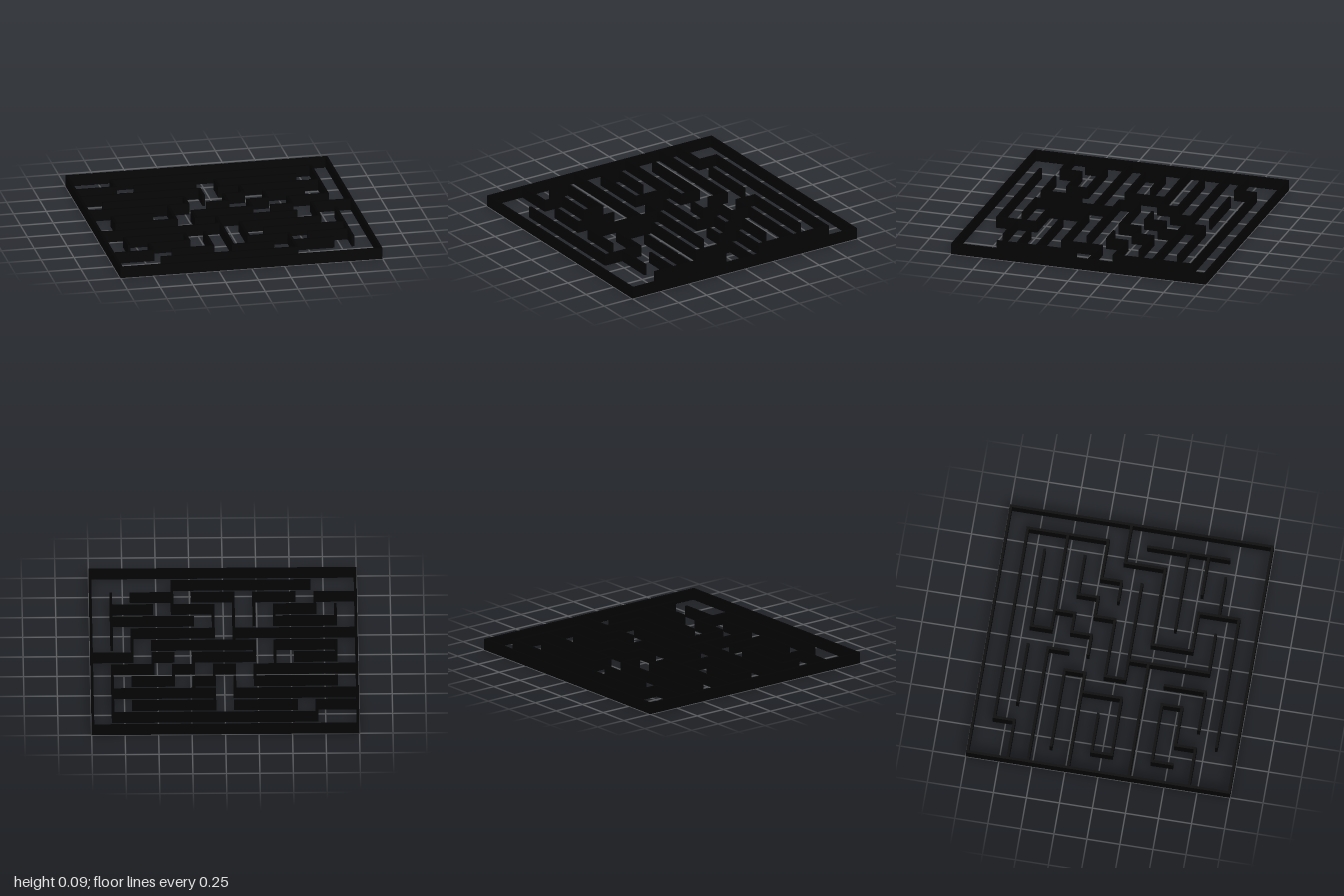
import * as THREE from 'three';

const CELLS = 13, THICK = 0.02, HEIGHT = 0.085;
const STEP = (2 - THICK) / CELLS;
const at = (i) => -1 + THICK / 2 + i * STEP;

// Walls along x: for each grid line from back to front, [start, end] columns
const ROWS = [
  [],
  [[2, 12]],
  [[0, 2], [3, 6], [7, 11]],
  [[0, 6], [7, 12]],
  [[1, 5], [7, 8], [9, 11]],
  [[0, 5], [6, 7], [8, 9], [10, 12]],
  [[1, 3], [5, 8], [9, 10], [11, 13]],
  [[1, 4], [5, 10]],
  [[0, 6], [7, 11]],
  [[1, 4], [8, 12]],
  [[2, 4], [7, 9], [10, 12]],
  [[0, 2], [3, 5], [6, 8], [9, 11]],
  [[2.25, 9]],
];

// Walls along z: for each grid line from -x to +x, [start, end] rows
const COLUMNS = [
  [],
  [[6, 7], [9, 10]],
  [[1, 2], [10, 11]],
  [],
  [[5, 7], [9, 10]],
  [[4, 5], [6, 7], [9, 11]],
  [[3, 4], [7, 11]],
  [[2, 3], [4, 5], [8, 10]],
  [[3, 4], [5, 6]],
  [[4, 5], [10, 12]],
  [[5, 6]],
  [[6, 8]],
  [[1, 5], [7, 11]],
];

export function createModel() {
  const maze = new THREE.Group();
  maze.name = 'maze';
  const material = new THREE.MeshStandardMaterial({ color: 0x030303 });

  const addWall = (parent, name, alongX, line, start, end) => {
    const length = (end - start) * STEP + THICK;
    const geometry = new THREE.BoxGeometry(alongX ? length : THICK, HEIGHT, alongX ? THICK : length);
    const wall = new THREE.Mesh(geometry, material);
    const middle = at((start + end) / 2);
    wall.position.set(alongX ? middle : at(line), HEIGHT / 2, alongX ? at(line) : middle);
    wall.name = name;
    parent.add(wall);
  };

  // Outer frame
  const frame = new THREE.Group();
  frame.name = 'outerFrame';
  addWall(frame, 'backWall', true, 0, 0, CELLS);
  addWall(frame, 'frontWall', true, CELLS, 0, CELLS);
  addWall(frame, 'rightWall', false, 0, 0, CELLS);
  addWall(frame, 'leftWall', false, CELLS, 0, CELLS);

  // Inner partitions
  const crossWalls = new THREE.Group();
  crossWalls.name = 'crossWalls';
  ROWS.forEach((spans, i) => spans.forEach(([a, b]) => addWall(crossWalls, 'crossWall', true, i, a, b)));

  const lengthWalls = new THREE.Group();
  lengthWalls.name = 'lengthWalls';
  COLUMNS.forEach((spans, i) => spans.forEach(([a, b]) => addWall(lengthWalls, 'lengthWall', false, i, a, b)));

  maze.add(frame, crossWalls, lengthWalls);
  return maze;
}
